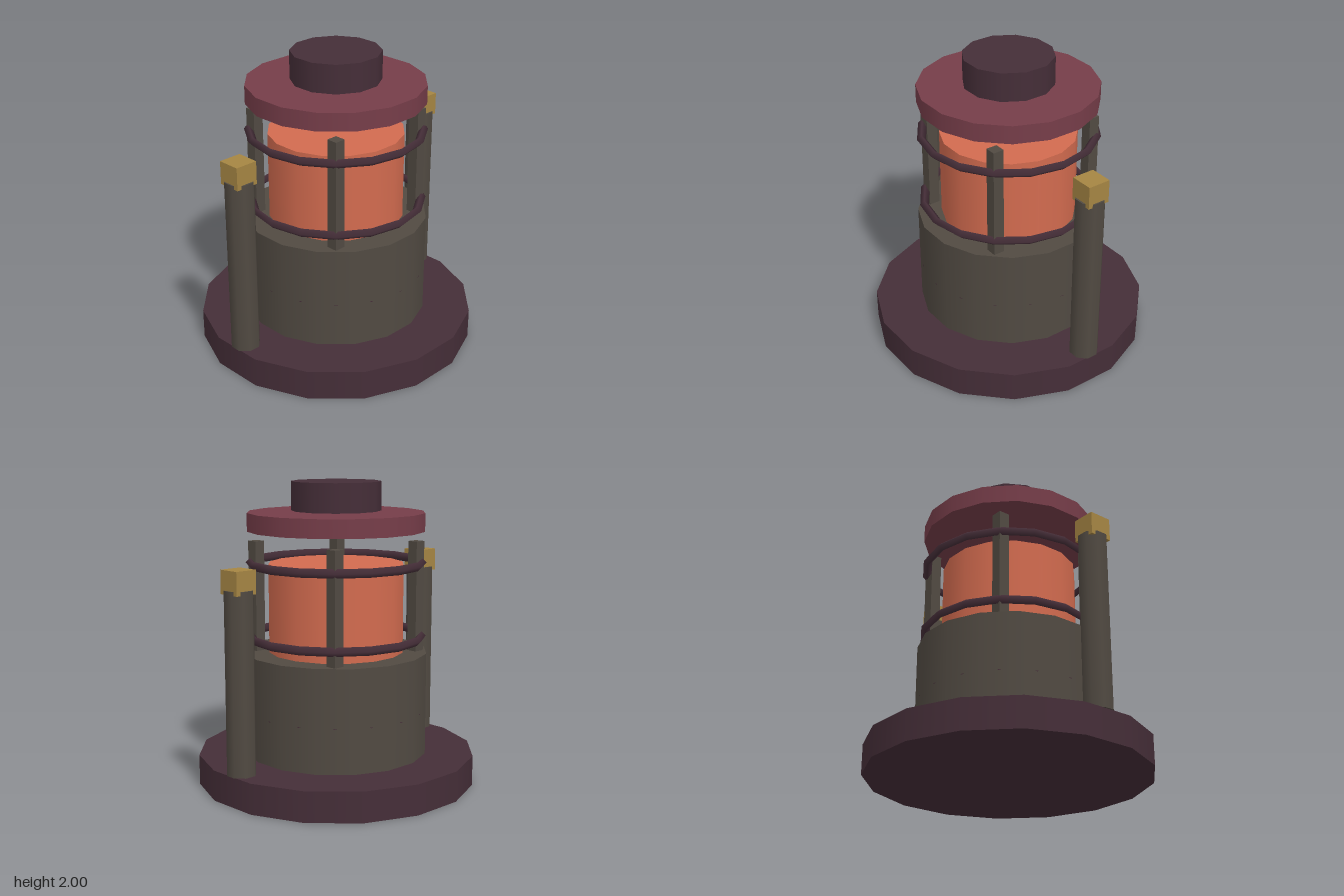
import * as THREE from 'three';

function material(name, color) {
  const m = new THREE.MeshStandardMaterial({ color });
  m.name = name;
  return m;
}

export function createModel() {
  const plum = material('dark plum', 0x452e38);
  const wine = material('wine red', 0x763d49);
  const stone = material('grey brown', 0x514a42);
  const ember = material('ember orange', 0xd26b4f);
  const brass = material('brass', 0xa58543);

  const model = new THREE.Group();
  model.name = 'reactor';

  const add = (name, geometry, mat, x, y, z) => {
    const mesh = new THREE.Mesh(geometry, mat);
    mesh.name = name;
    mesh.position.set(x, y, z);
    model.add(mesh);
    return mesh;
  };

  // Upright prism with flat sides facing the axes, from y0 to y1
  const prism = (name, mat, apothem, sides, y0, y1, x = 0) => {
    const r = apothem / Math.cos(Math.PI / sides);
    const g = new THREE.CylinderGeometry(r, r, y1 - y0, sides);
    g.rotateY(Math.PI / sides);
    return add(name, g, mat, x, (y0 + y1) / 2, 0);
  };

  // Central stack, with the lid and cap floating above the core
  prism('base', plum, 0.907, 16, 0, 0.2);
  prism('drum', stone, 0.594, 16, 0.2, 0.88);
  prism('core', ember, 0.44, 16, 0.88, 1.465);
  prism('lid', wine, 0.575, 16, 1.68, 1.8);
  prism('cap', plum, 0.285, 12, 1.81, 2);

  // Hoops: the lowest only just breaks through the drum wall
  const hoop = new THREE.TorusGeometry(0.568, 0.029, 4, 16);
  hoop.rotateX(Math.PI / 2);
  for (const y of [0.495, 0.98, 1.467]) add('hoop', hoop, plum, 0, y, 0);

  // Four cage posts around the core
  const post = new THREE.BoxGeometry(0.074, 0.75, 0.074);
  for (const x of [-0.372, 0.372]) {
    for (const z of [-0.372, 0.372]) add('cagePost', post, stone, x, 1.235, z);
  }

  // Side pillars with square brass heads
  const head = new THREE.BoxGeometry(0.153, 0.15, 0.153);
  for (const [side, s] of [['left', 1], ['right', -1]]) {
    prism(side + 'Pillar', stone, 0.088, 8, 0.2, 1.37, s * 0.828);
    add(side + 'PillarHead', head, brass, s * 0.83, 1.42, 0);
  }

  return model;
}
